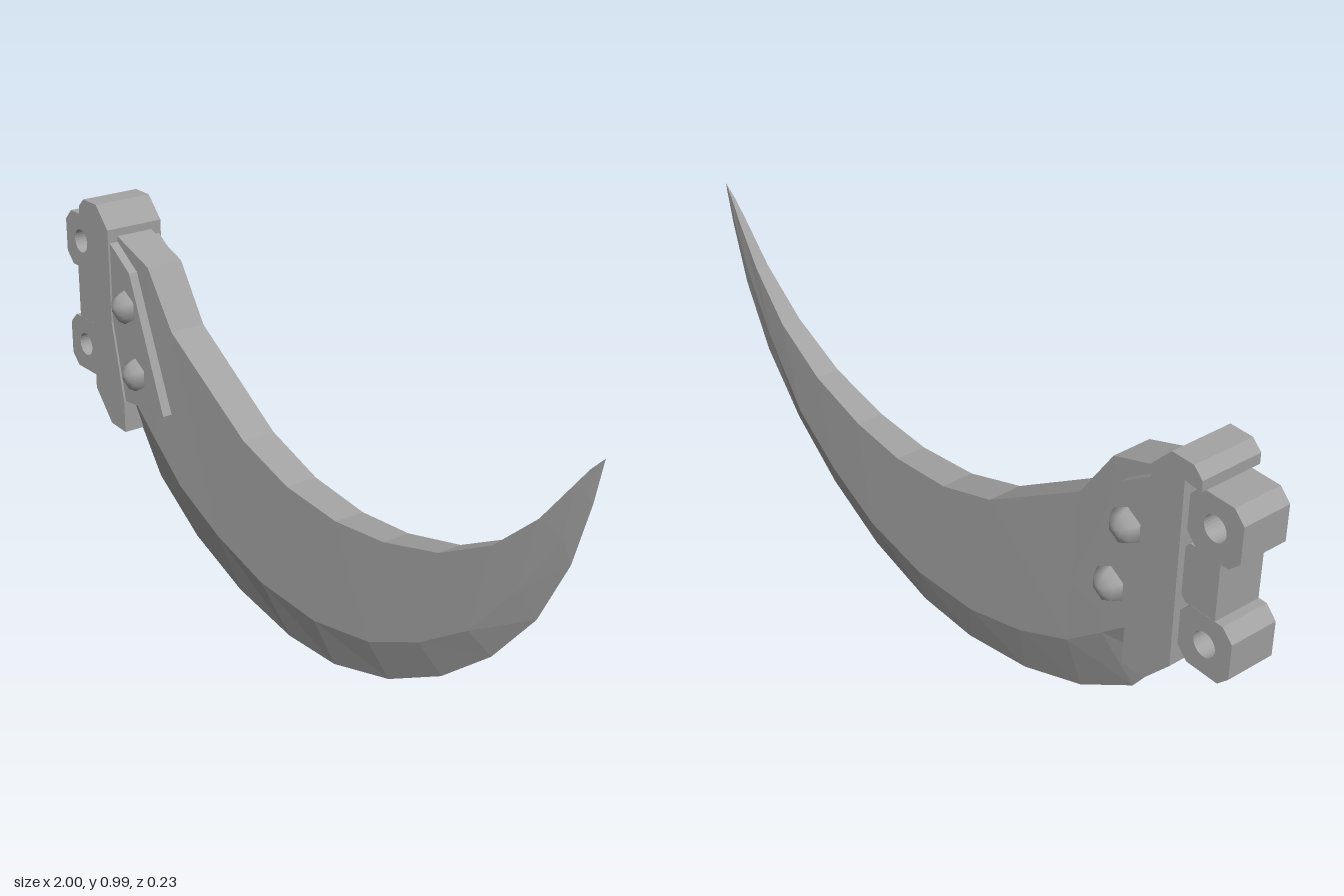
import * as THREE from 'three';

const steel = new THREE.MeshStandardMaterial({ color: 0xa3a3a3 });
steel.name = 'steel grey';

// Flat plate cut from a side outline, centred on z
function plate(name, outline, halfWidth, holes = []) {
  const shape = new THREE.Shape(outline.map(([x, y]) => new THREE.Vector2(x, y)));
  for (const [x, y, r] of holes) {
    shape.holes.push(new THREE.Path().absarc(x, y, r, 0, Math.PI * 2, true));
  }
  const geo = new THREE.ExtrudeGeometry(shape, { depth: halfWidth * 2, bevelEnabled: false, curveSegments: 14 });
  geo.translate(0, 0, -halfWidth);
  const mesh = new THREE.Mesh(geo, steel);
  mesh.name = name;
  return mesh;
}

// Blade stations: inner edge x,y, bevel line x,y, cutting edge x,y, half thickness
const stations = [
  [-0.8, 0.92, -0.8, 0.55, -0.8, 0.42, 0.053],
  [-0.75, 0.915, -0.7, 0.465, -0.76, 0.37, 0.053],
  [-0.607, 0.866, -0.6, 0.38, -0.66, 0.235, 0.052],
  [-0.505, 0.717, -0.484, 0.283, -0.485, 0.12, 0.05],
  [-0.19, 0.52, -0.31, 0.2, -0.28, 0.04, 0.047],
  [-0.008, 0.46, -0.12, 0.144, -0.06, 0, 0.045],
  [0.184, 0.44, 0.1, 0.13, 0.13, 0.005, 0.042],
  [0.36, 0.455, 0.31, 0.166, 0.345, 0.065, 0.038],
  [0.548, 0.503, 0.49, 0.246, 0.535, 0.165, 0.033],
  [0.714, 0.588, 0.65, 0.348, 0.7, 0.295, 0.027],
  [0.842, 0.7, 0.79, 0.508, 0.835, 0.45, 0.018],
  [0.93, 0.81, 0.906, 0.68, 0.925, 0.62, 0.01],
  [0.965, 0.855, 0.962, 0.8, 0.975, 0.78, 0.005],
  [1, 0.89, 1, 0.89, 1, 0.89, 0],
];

function makeBlade() {
  const rings = stations.map(([ix, iy, bx, by, ex, ey, t]) => [
    [ix, iy, t], [bx, by, t], [ex, ey, 0], [bx, by, -t], [ix, iy, -t],
  ]);
  const pos = [];
  for (let i = 0; i < rings.length - 1; i++) {
    for (let j = 0; j < 5; j++) {
      const k = (j + 1) % 5;
      const a = rings[i][j], b = rings[i][k], c = rings[i + 1][k], d = rings[i + 1][j];
      pos.push(...a, ...b, ...c);
      if (i < rings.length - 2) pos.push(...a, ...c, ...d); // last span closes to the tip
    }
  }
  const geo = new THREE.BufferGeometry();
  geo.setAttribute('position', new THREE.Float32BufferAttribute(pos, 3));
  geo.computeVertexNormals();
  const mesh = new THREE.Mesh(geo, steel);
  mesh.name = 'blade';
  return mesh;
}

export function createModel() {
  const model = new THREE.Group();
  model.name = 'curvedBlade';
  model.add(makeBlade());

  // Hooked mounting bracket
  model.add(plate('bracket', [
    [-0.847, 0.945], [-0.847, 0.46], [-0.773, 0.378], [-0.703, 0.374], [-0.703, 0.465],
    [-0.751, 0.68], [-0.751, 0.936], [-0.805, 0.993], [-0.869, 0.993], [-0.895, 0.968], [-0.895, 0.941],
  ], 0.083));

  // Cheek plates clamping the blade
  model.add(plate('cheekPlates', [
    [-0.78, 0.9], [-0.78, 0.463], [-0.703, 0.465], [-0.516, 0.481], [-0.66, 0.84], [-0.751, 0.9],
  ], 0.077));

  // Two octagonal hinge lugs with pin holes
  const r = 0.076, c = 0.046;
  for (const [name, y] of [['upperLug', 0.86], ['lowerLug', 0.56]]) {
    const x = -0.924;
    model.add(plate(name, [
      [x + r, y - c], [x + r, y + c], [x + c, y + r], [x - c, y + r],
      [x - r, y + c], [x - r, y - c], [x - c, y - r], [x + c, y - r],
    ], 0.065, [[x, y, 0.032]]));
  }

  // Web joining the lugs to the bracket
  model.add(plate('hingeWeb', [
    [-0.947, 0.634], [-0.86, 0.634], [-0.845, 0.65], [-0.845, 0.77], [-0.86, 0.786], [-0.947, 0.786],
  ], 0.0645));

  // Domed six-sided bolts on both sides
  const profile = [[0.047, 0.07], [0.046, 0.082], [0.035, 0.1], [0.016, 0.111], [0, 0.113]]
    .map(([x, y]) => new THREE.Vector2(x, y));
  const boltGeo = new THREE.LatheGeometry(profile, 6);
  for (const [x, y] of [[-0.685, 0.74], [-0.645, 0.56]]) {
    for (const side of [1, -1]) {
      const bolt = new THREE.Mesh(boltGeo, steel);
      bolt.name = side > 0 ? 'frontBolt' : 'backBolt';
      bolt.rotation.x = side * Math.PI / 2;
      bolt.position.set(x, y, 0);
      model.add(bolt);
    }
  }
  return model;
}
